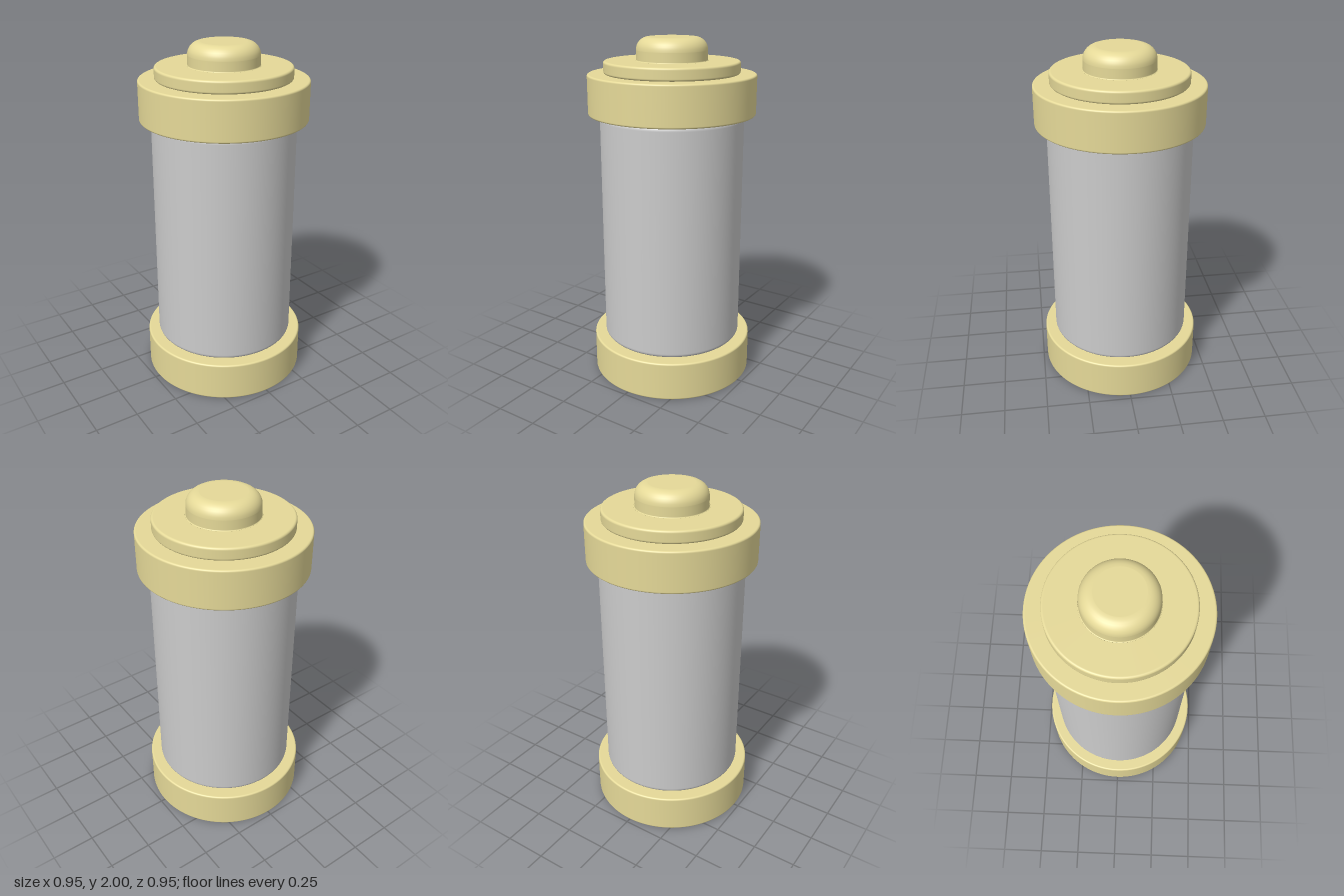
import * as THREE from 'three';

const SEGMENTS = 96;

// Closed disc with rounded rims, turned around the y axis.
function roundedDisc(radius, y0, y1, bottomBevel, topBevel, flare = 0) {
  const points = [new THREE.Vector2(0, y0)];
  const e = 0.002; // support loops keep the flat areas flat
  const steps = 8;
  const arc = (cy, bevel, from) => {
    for (let i = 0; i <= steps; i++) {
      const a = from + (i / steps) * Math.PI / 2;
      points.push(new THREE.Vector2(radius - bevel + Math.cos(a) * bevel, cy + Math.sin(a) * bevel));
    }
  };
  if (flare > 0) {
    // concave fillet where the disc meets the surface below
    for (let i = 0; i <= steps; i++) {
      const a = (i / steps) * Math.PI / 2;
      points.push(new THREE.Vector2(radius + flare * (1 - Math.sin(a)), y0 + flare * (1 - Math.cos(a))));
    }
  } else {
    points.push(new THREE.Vector2(radius - bottomBevel - e, y0));
    arc(y0 + bottomBevel, bottomBevel, -Math.PI / 2);
    points.push(new THREE.Vector2(radius, y0 + bottomBevel + e));
  }
  points.push(new THREE.Vector2(radius, y1 - topBevel - e));
  arc(y1 - topBevel, topBevel, 0);
  points.push(new THREE.Vector2(radius - topBevel - e, y1), new THREE.Vector2(0, y1));
  return new THREE.LatheGeometry(points, SEGMENTS);
}

export function createModel() {
  const group = new THREE.Group();
  const grey = new THREE.MeshStandardMaterial({ color: 0xcccccc });
  const brass = new THREE.MeshStandardMaterial({ color: 0xe5d998 });

  const add = (name, geometry, material) => {
    const mesh = new THREE.Mesh(geometry, material);
    mesh.name = name;
    group.add(mesh);
  };

  // Collars at both ends of the cylinder
  add('bottomCap', roundedDisc(0.475, 0, 0.23, 0.01, 0.01), brass);
  add('topCap', roundedDisc(0.475, 1.575, 1.802, 0.01, 0.01), brass);

  // Main cylinder
  add('body', roundedDisc(0.41, 0.23, 1.575, 0.025, 0.025), grey);

  // Stepped plate and terminal button
  add('topPlate', roundedDisc(0.383, 1.802, 1.872, 0.012, 0.012), brass);
  add('terminal', roundedDisc(0.2, 1.872, 2, 0, 0.07, 0.005), brass);

  return group;
}
